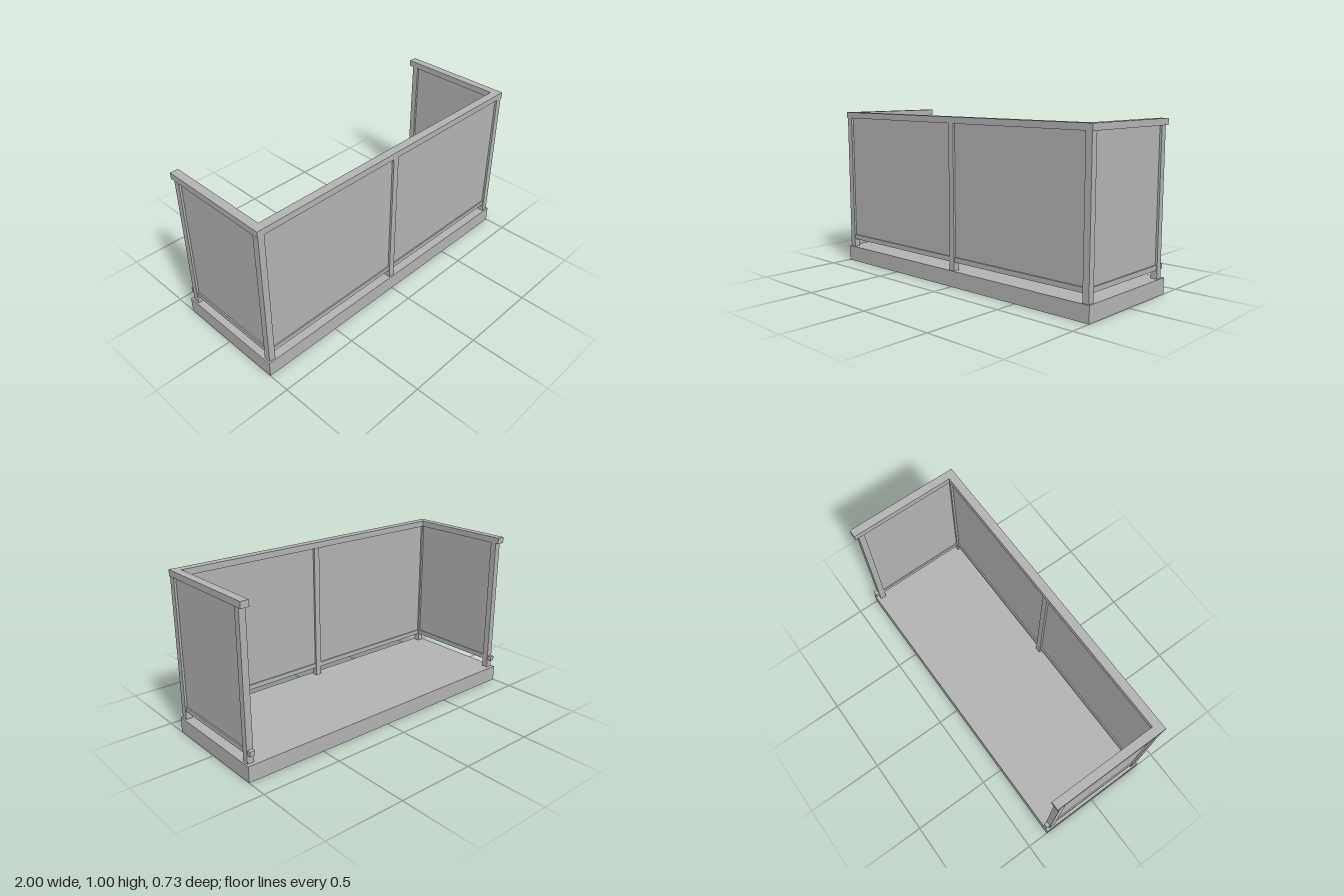
import * as THREE from 'three';

export function createModel() {
  const model = new THREE.Group();
  model.name = 'balcony';
  const grey = new THREE.MeshStandardMaterial({ color: 0xb2b2b2 });
  grey.name = 'concreteGrey';

  // Box given by its limits on each axis
  function box(name, [x0, x1], [y0, y1], [z0, z1], parent = model) {
    const mesh = new THREE.Mesh(new THREE.BoxGeometry(x1 - x0, y1 - y0, z1 - z0), grey);
    mesh.position.set((x0 + x1) / 2, (y0 + y1) / 2, (z0 + z1) / 2);
    mesh.name = name;
    parent.add(mesh);
  }
  // Range that is mirrored across x = 0 when side is -1
  const span = (side, a, b) => (side > 0 ? [a, b] : [-b, -a]);

  const back = -0.363;
  const slabTop = 0.098;
  const railY = [0.967, 1.005];
  const lowY = [0.149, 0.179];
  const panelY = [0.179, 0.967];
  const postY = [slabTop, 0.967];
  const frontPostZ = [0.314, 0.354];

  // Floor slab
  box('floorSlab', [-1, 1], [0, slabTop], [back, 0.363]);

  // Front railing
  const front = new THREE.Group();
  front.name = 'frontRailing';
  model.add(front);
  box('frontHandrail', [-0.994, 0.994], railY, [0.305, 0.357], front);
  box('middlePost', [-0.019, 0.019], postY, frontPostZ, front);
  for (const s of [-1, 1]) {
    box('frontLowerRail', span(s, 0.019, 0.95), lowY, [0.319, 0.349], front);
    box('frontPanel', span(s, 0.019, 0.95), panelY, [0.327, 0.341], front);
  }

  // Side railings, open at the back
  for (const s of [-1, 1]) {
    const side = new THREE.Group();
    side.name = s > 0 ? 'leftRailing' : 'rightRailing';
    model.add(side);
    box('sideHandrail', span(s, 0.943, 0.994), railY, [back, 0.305], side);
    box('frontCornerPost', span(s, 0.95, 0.99), postY, frontPostZ, side);
    box('backPost', span(s, 0.95, 0.99), postY, [-0.339, -0.3], side);
    box('sideLowerRail', span(s, 0.955, 0.985), lowY, [back, 0.314], side);
    box('sidePanel', span(s, 0.963, 0.977), panelY, [-0.3, 0.314], side);
  }
  return model;
}
